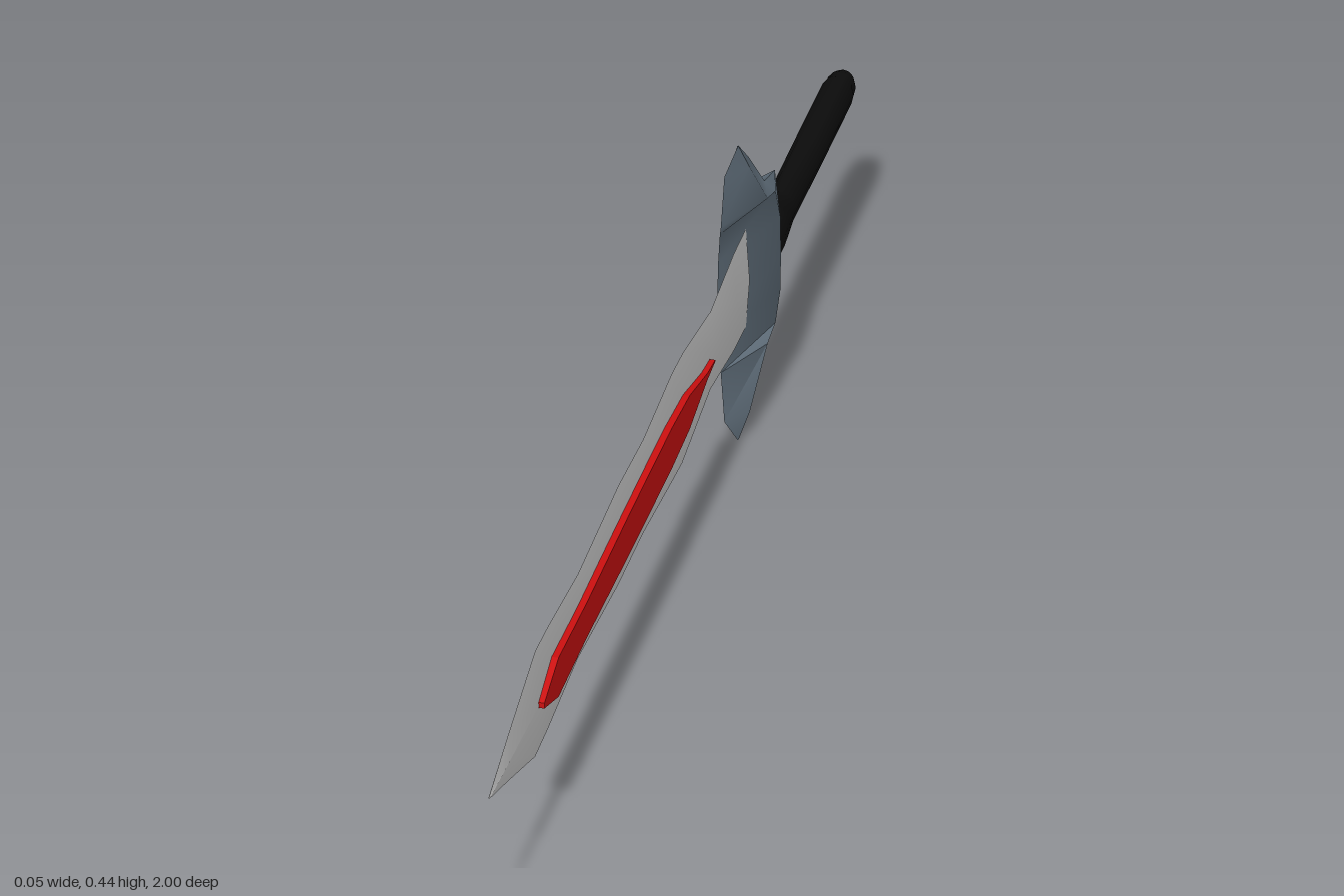
import * as THREE from 'three';
import { toCreasedNormals } from 'three/addons/utils/BufferGeometryUtils.js';

const MID_Y = 0.22;   // height of the sword's long axis
const MID_X = -0.003; // centre plane of the blade

// Skin a list of equal-sized rings; both ends are closed with a fan.
function loft(rings, crease) {
  const n = rings[0].length;
  const index = [];
  for (let i = 0; i < rings.length - 1; i++) {
    for (let j = 0; j < n; j++) {
      const a = i * n + j, b = i * n + (j + 1) % n;
      index.push(a, a + n, b, b, a + n, b + n);
    }
  }
  const last = (rings.length - 1) * n;
  for (let j = 1; j < n - 1; j++) {
    index.push(0, j, j + 1, last, last + j + 1, last + j);
  }
  const geometry = new THREE.BufferGeometry();
  geometry.setAttribute('position', new THREE.Float32BufferAttribute(rings.flat(2), 3));
  geometry.setIndex(index);
  return toCreasedNormals(geometry, crease);
}

function part(name, geometry, color, flatShading = false) {
  const mesh = new THREE.Mesh(geometry, new THREE.MeshStandardMaterial({ color, flatShading }));
  mesh.name = name;
  return mesh;
}

// Wavy blade with a thin diamond section: z, top edge, bottom edge, half thickness
function makeBlade() {
  const stations = [
    [1.0, 0.222, 0.220, 0.001], [0.89, 0.258, 0.188, 0.003], [0.74, 0.301, 0.144, 0.005],
    [0.67, 0.299, 0.147, 0.005], [0.5, 0.287, 0.162, 0.005], [0.27, 0.297, 0.150, 0.005],
    [0.13, 0.291, 0.152, 0.005], [-0.03, 0.303, 0.142, 0.005], [-0.09, 0.301, 0.139, 0.005],
    [-0.25, 0.279, 0.164, 0.005], [-0.38, 0.295, 0.151, 0.005], [-0.45, 0.296, 0.150, 0.005],
  ];
  const rings = stations.map(([z, top, bottom, t]) => [
    [MID_X + t, MID_Y, z], [MID_X, top, z], [MID_X - t, MID_Y, z], [MID_X, bottom, z],
  ]);
  return part('blade', loft(rings, 0.5), 0xcccccc);
}

// Raised slab running through both faces of the blade: z, half height
function makeInlay() {
  const edge = [[0.74, 0.004], [0.66, 0.029], [0.5, 0.026], [0.25, 0.030], [0.02, 0.030],
    [-0.08, 0.025], [-0.18, 0.005], [-0.225, 0.001]];
  const outline = [
    ...edge.map(([z, h]) => new THREE.Vector2(-z, MID_Y + 0.001 - h)),
    ...edge.slice().reverse().map(([z, h]) => new THREE.Vector2(-z, MID_Y + 0.001 + h)),
  ];
  const geometry = new THREE.ExtrudeGeometry(new THREE.Shape(outline), { depth: 0.025, bevelEnabled: false });
  geometry.rotateY(Math.PI / 2).translate(MID_X - 0.0125, 0, 0);
  return part('inlay', geometry, 0xcc1010, true);
}

// Slanted guard, mirrored up and down: offset, then [x, z] of right, front, left and back corners
function makeGuard() {
  const half = [
    [0, [0.025, -0.53], [-0.026, -0.385], [-0.025, -0.53], [0.004, -0.585]],
    [0.055, [0.024, -0.53], [-0.025, -0.385], [-0.024, -0.53], [0.004, -0.575]],
    [0.098, [0.020, -0.52], [-0.023, -0.387], [-0.020, -0.53], [0.006, -0.575]],
    [0.108, [0.019, -0.48], [-0.022, -0.388], [-0.019, -0.48], [0.004, -0.525]],
    [0.182, [0.008, -0.425], [-0.018, -0.391], [-0.016, -0.43], [0.000, -0.452]],
    [0.218, [-0.004, -0.413], [-0.005, -0.411], [-0.006, -0.413], [-0.005, -0.415]],
  ];
  const ring = (row, sign) => row.slice(1).map(([x, z]) => [x, MID_Y + sign * row[0], z]);
  const rings = [
    ...half.slice(1).reverse().map((row) => ring(row, -1)),
    ...half.map((row) => ring(row, 1)),
  ];
  return part('guard', loft(rings, 0.9), 0x5f6d79);
}

// Oval grip with a flared collar at the guard: z, half width, half height
function makeGrip() {
  const stations = [
    [-0.555, 0.018, 0.026], [-0.585, 0.022, 0.048], [-0.605, 0.022, 0.040], [-0.64, 0.021, 0.028],
    [-0.8, 0.022, 0.027], [-0.965, 0.022, 0.026], [-0.975, 0.019, 0.023],
    [-0.985, 0.020, 0.023], [-1.0, 0.015, 0.017],
  ];
  const sides = 12;
  const rings = stations.map(([z, rx, ry]) => Array.from({ length: sides }, (_, i) => {
    const a = (i / sides) * Math.PI * 2;
    return [MID_X + rx * Math.cos(a), MID_Y + 0.003 + ry * Math.sin(a), z];
  }));
  return part('grip', loft(rings, 0.7), 0x0c0c0c);
}

export function createModel() {
  const sword = new THREE.Group();
  sword.name = 'sword';
  sword.add(makeBlade(), makeInlay(), makeGuard(), makeGrip());
  return sword;
}
